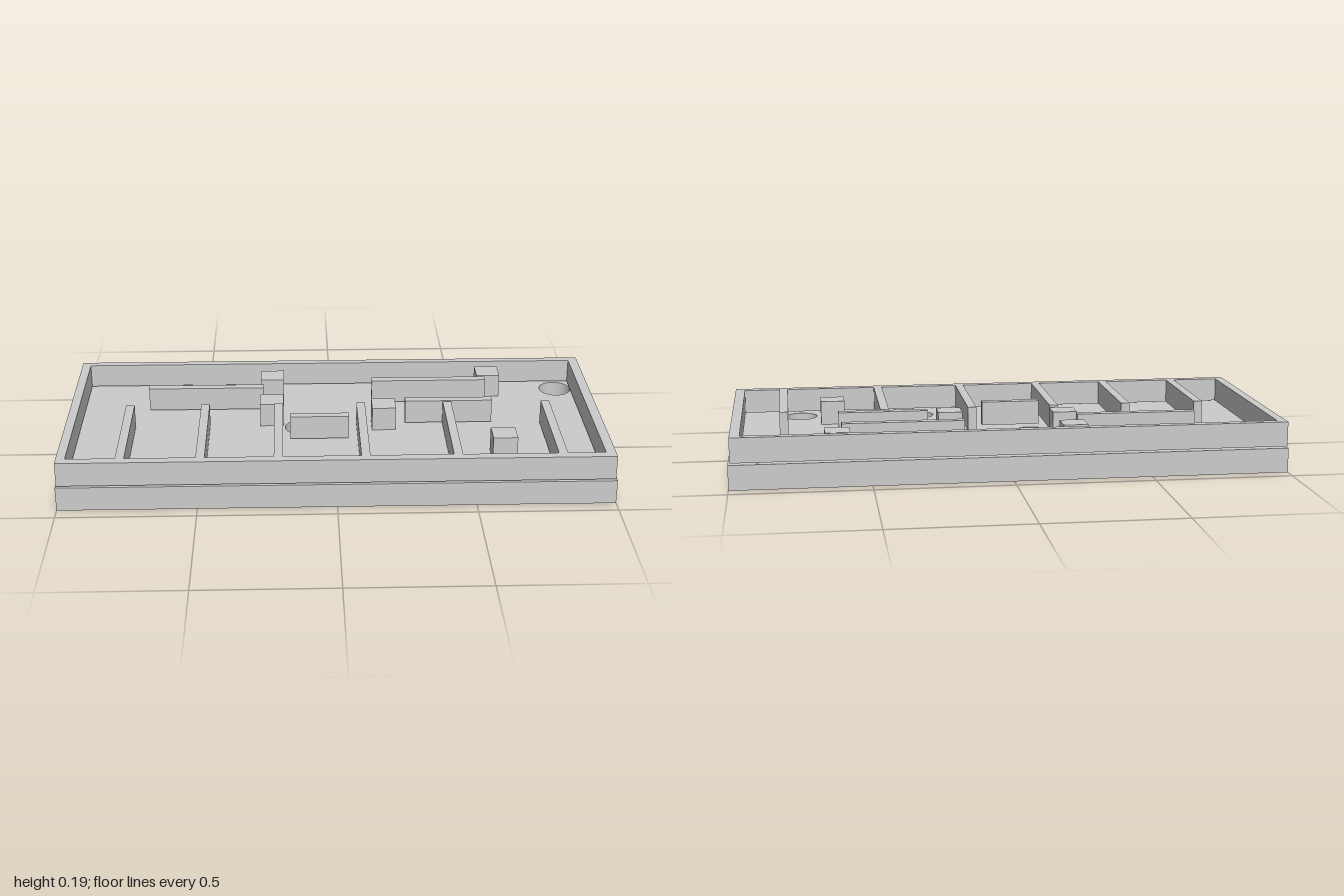
import * as THREE from 'three';

export function createModel() {
  const model = new THREE.Group();
  const material = new THREE.MeshStandardMaterial({ color: 0xcccccc });
  const add = (name, geometry) => {
    const mesh = new THREE.Mesh(geometry, material);
    mesh.name = name;
    model.add(mesh);
    return mesh;
  };
  // Box given by its lower and upper limits on each axis
  const box = (name, x0, x1, y0, y1, z0, z1) =>
    add(name, new THREE.BoxGeometry(x1 - x0, y1 - y0, z1 - z0))
      .position.set((x0 + x1) / 2, (y0 + y1) / 2, (z0 + z1) / 2);

  const D = 0.447; // half depth
  const slabTop = 0.09, pitBottom = 0.01;
  const wallBottom = 0.097, wallTop = 0.187;

  // Solid base and the board above it, pierced by round pits
  box('base', -1, 1, 0, pitBottom, -D, D);
  const board = new THREE.Shape([[-1, -D], [1, -D], [1, D], [-1, D]].map(p => new THREE.Vector2(...p)));
  const pits = [[-0.123, -0.028], [-0.043, 0.317], [0.28, 0.317], [0.518, 0.347], [0.738, 0.347], [0.898, -0.357]];
  for (const [x, z] of pits) {
    board.holes.push(new THREE.Path().absarc(x, -z, 0.062, 0, Math.PI * 2, true));
  }
  const boardGeometry = new THREE.ExtrudeGeometry(board, { depth: slabTop - pitBottom, bevelEnabled: false, curveSegments: 32 });
  boardGeometry.rotateX(-Math.PI / 2).translate(0, pitBottom, 0);
  add('boardWithPits', boardGeometry);

  // Outer walls, floating just above the board
  const wall = (name, x0, x1, z0, z1) => box(name, x0, x1, wallBottom, wallTop, z0, z1);
  wall('backWall', -0.995, 0.957, -D, -0.417);
  wall('frontWall', -0.995, 0.957, 0.412, D);
  wall('rightWall', -0.995, -0.962, -0.417, 0.412);
  wall('leftWall', 0.957, 0.993, -D, D);

  // Dividers running inward from the front wall
  for (const x of [-0.77, -0.486, -0.209, 0.102, 0.431, 0.805]) {
    wall('divider', x - 0.016, x + 0.016, -0.034, 0.412);
  }

  // Free-standing barriers
  const barriers = [[-0.711, -0.267, -0.198], [0.155, 0.6, -0.251], [0.273, 0.604, -0.058], [-0.166, 0.053, 0.071]];
  for (const [x0, x1, z] of barriers) wall('barrier', x0, x1, z - 0.016, z + 0.016);

  // Cubes resting on the board
  const s = 0.045;
  for (const [x, z] of [[-0.235, -0.317], [-0.235, -0.088], [0.19, -0.04], [0.618, -0.335], [0.618, 0.227]]) {
    box('cube', x - s, x + s, slabTop, slabTop + 2 * s, z - s, z + s);
  }
  return model;
}
